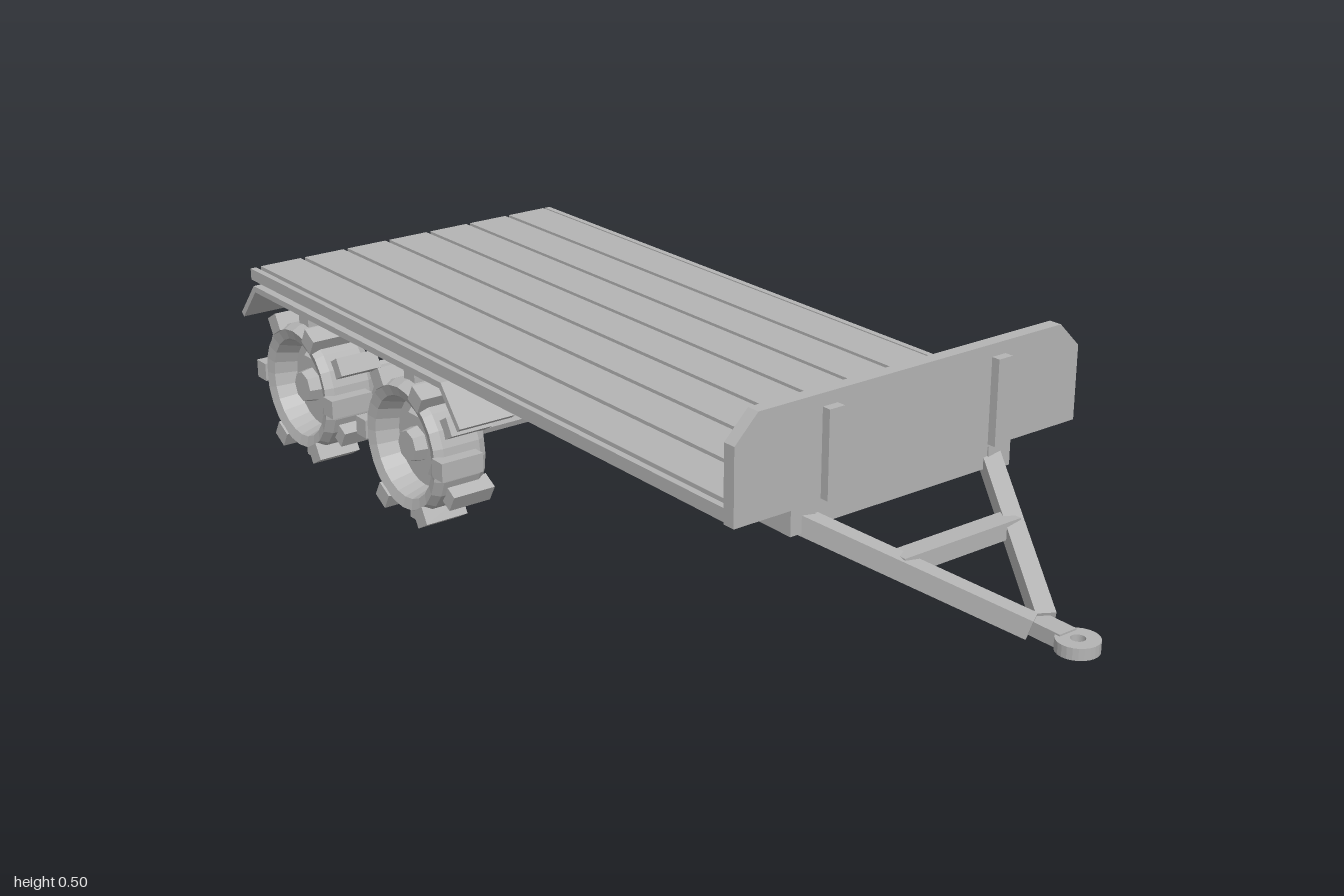
import * as THREE from 'three';

export function createModel() {
  const model = new THREE.Group();
  model.name = 'flatbedTrailer';
  const grey = new THREE.MeshStandardMaterial({ color: 0xb4b4b4, flatShading: true });
  grey.name = 'plain grey';

  const add = (name, geometry, parent = model) => {
    const m = new THREE.Mesh(geometry, grey);
    m.name = name;
    parent.add(m);
    return m;
  };
  // Box given by its limits on each axis
  const box = (name, x0, x1, y0, y1, z0, z1, parent) => {
    const m = add(name, new THREE.BoxGeometry(x1 - x0, y1 - y0, z1 - z0), parent);
    m.position.set((x0 + x1) / 2, (y0 + y1) / 2, (z0 + z1) / 2);
    return m;
  };
  const pair = (name, x0, x1, y0, y1, z0, z1) => {
    box(name, x0, x1, y0, y1, z0, z1);
    box(name, -x1, -x0, y0, y1, z0, z1);
  };
  // Rectangular beam between two points
  const beam = (name, a, b, w, h) => {
    const m = add(name, new THREE.BoxGeometry(w, h, a.distanceTo(b)));
    m.position.copy(a).add(b).multiplyScalar(0.5);
    m.lookAt(b);
  };

  // Deck: base, side rims and planks with grooves between
  box('deckBase', -0.36, 0.36, 0.325, 0.338, -0.92, 0.58);
  pair('deckRim', 0.348, 0.36, 0.338, 0.348, -0.92, 0.58);
  const planks = 7, pitch = 0.69 / planks;
  for (let i = 0; i < planks; i++) {
    const x = -0.345 + i * pitch;
    box('deckPlank', x + 0.005, x + pitch - 0.005, 0.338, 0.35, -0.915, 0.58);
  }

  // Headboard with clipped top corners, and its stakes
  const board = new THREE.Shape([
    [-0.365, 0.325], [0.365, 0.325], [0.365, 0.457], [0.32, 0.502], [-0.32, 0.502], [-0.365, 0.457],
  ].map(p => new THREE.Vector2(...p)));
  add('headboard', new THREE.ExtrudeGeometry(board, { depth: 0.024, bevelEnabled: false })).position.z = 0.58;
  pair('headboardStake', 0.164, 0.194, 0.33, 0.48, 0.604, 0.62);

  // Chassis rails and cross members
  pair('chassisRail', 0.187, 0.237, 0.27, 0.325, -0.92, 0.585);
  for (const z of [0.56, 0.06, -0.2, -0.88]) {
    box('crossMember', -0.187, 0.187, 0.275, 0.32, z - 0.022, z + 0.022);
  }
  box('fenderCrossBar', -0.257, 0.257, 0.287, 0.312, -0.56, -0.53);
  box('rearBar', -0.237, 0.237, 0.275, 0.325, -0.936, -0.92);

  // Drawbar: A-frame, brace and towing eye
  for (const s of [1, -1]) {
    beam('drawbarArm', new THREE.Vector3(s * 0.205, 0.285, 0.57), new THREE.Vector3(s * 0.014, 0.169, 0.885), 0.032, 0.034);
  }
  box('drawbarBrace', -0.125, 0.125, 0.222, 0.252, 0.685, 0.722);
  box('towNeck', -0.018, 0.018, 0.155, 0.18, 0.86, 0.945);
  const eye = new THREE.Shape().absarc(0, 0, 0.035, 0, Math.PI * 2);
  eye.holes.push(new THREE.Path().absarc(0, 0, 0.012, 0, Math.PI * 2, true));
  const ring = add('towEye', new THREE.ExtrudeGeometry(eye, { depth: 0.02, bevelEnabled: false, curveSegments: 12 }));
  ring.rotation.x = -Math.PI / 2;
  ring.position.set(0, 0.157, 0.965);

  // Rear hitch: post, jaws and pin
  box('hitchPost', -0.027, 0.027, 0.122, 0.32, -0.946, -0.93);
  box('hitchLowerJaw', -0.027, 0.027, 0.122, 0.137, -1, -0.946);
  box('hitchUpperJaw', -0.027, 0.027, 0.2, 0.215, -1, -0.946);
  add('hitchPin', new THREE.CylinderGeometry(0.01, 0.01, 0.11, 10)).position.set(0, 0.168, -0.975);

  // Bent fender strips, drawn in (z, y) and extruded across x
  const strip = new THREE.Shape([
    [-0.14, 0.252], [-0.198, 0.322], [-0.888, 0.322], [-0.948, 0.252],
    [-0.939, 0.245], [-0.883, 0.31], [-0.203, 0.31], [-0.149, 0.245],
  ].map(([z, y]) => new THREE.Vector2(-z, y)));
  for (const x of [0.257, -0.372]) {
    const f = add('fender', new THREE.ExtrudeGeometry(strip, { depth: 0.115, bevelEnabled: false }));
    f.rotation.y = Math.PI / 2;
    f.position.x = x;
  }

  // Suspension hangers and walking beams
  pair('suspensionHanger', 0.187, 0.227, 0.165, 0.27, -0.563, -0.515);
  pair('walkingBeam', 0.21, 0.24, 0.132, 0.171, -0.77, -0.32);

  // Wheels: dished body, hub and staggered tread lugs
  const tyre = new THREE.LatheGeometry([
    [0, -0.02], [0.085, -0.02], [0.098, -0.048], [0.118, -0.054], [0.127, -0.038],
    [0.127, 0.038], [0.118, 0.054], [0.098, 0.048], [0.085, 0.005], [0, 0.005],
  ].map(p => new THREE.Vector2(...p)), 24);
  const hub = new THREE.CylinderGeometry(0.03, 0.036, 0.03, 8);
  const plate = new THREE.CylinderGeometry(0.06, 0.07, 0.012, 6);
  const lug = new THREE.BoxGeometry(0.087, 0.034, 0.036);
  for (const z of [-0.35, -0.74]) {
    const axle = add('axle', new THREE.CylinderGeometry(0.016, 0.016, 0.62, 8));
    axle.rotation.z = Math.PI / 2;
    axle.position.set(0, 0.15, z);
    for (const s of [1, -1]) {
      const wheel = new THREE.Group();
      wheel.name = 'wheel';
      wheel.position.set(s * 0.3165, 0.15, z);
      model.add(wheel);
      for (const [name, geo, x] of [['tyre', tyre, 0], ['rimPlate', plate, 0.01], ['hub', hub, 0.025]]) {
        const m = add(name, geo, wheel);
        m.rotation.z = -s * Math.PI / 2;
        m.position.x = s * x;
      }
      for (let i = 0; i < 12; i++) {
        const a = i * Math.PI / 6;
        const m = add('treadLug', lug, wheel);
        m.rotation.x = a;
        m.position.set(i % 2 ? -0.015 : 0.015, Math.cos(a) * 0.133, Math.sin(a) * 0.133);
      }
    }
  }
  return model;
}
